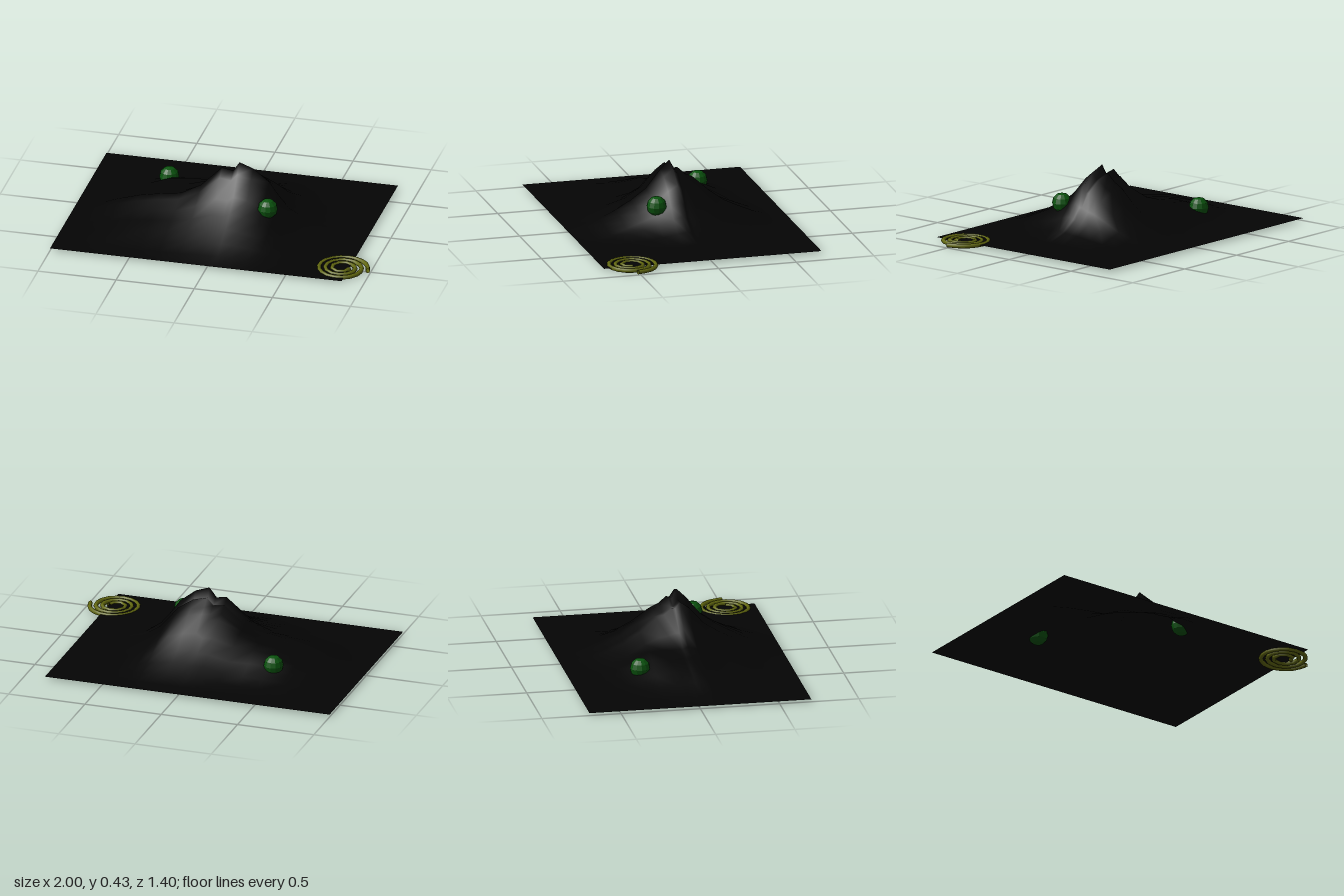
import * as THREE from 'three';

const BASE = 0.016, PEAK = 0.414;

// Ridge profiles [position, height above base] across x and z
const PROFILE_X = [[-1, 0], [-0.865, 0.021], [-0.73, 0.071], [-0.6, 0.111], [-0.46, 0.139], [-0.33, 0.159],
  [-0.2, 0.231], [-0.067, 0.366], [0.005, 0.352], [0.045, 0.414], [0.135, 0.381], [0.235, 0.302],
  [0.3, 0.211], [0.36, 0.137], [0.46, 0.065], [0.6, 0.025], [0.73, 0.011], [0.865, 0]];
const PROFILE_Z = [[-0.7, 0], [-0.6, 0.01], [-0.5, 0.036], [-0.4, 0.08], [-0.3, 0.128], [-0.2, 0.203],
  [-0.1, 0.293], [-0.05, 0.318], [0, 0.364], [0.02, 0.359], [0.05, 0.414], [0.11, 0.356],
  [0.2, 0.243], [0.3, 0.172], [0.4, 0.115], [0.5, 0.063], [0.6, 0.024], [0.7, 0]];

function material(color, options = {}) {
  return new THREE.MeshStandardMaterial({ color, ...options });
}

// Height of the slope: a rounded cone, fuller around the back shoulder
function hillHeight(x, hx, z, hz) {
  const shoulder = Math.exp(-((x + 0.4) ** 2 + (z + 0.16) ** 2) / 0.03);
  return BASE + THREE.MathUtils.lerp(hx * hz / PEAK, Math.min(hx, hz), 0.17 + 0.8 * shoulder);
}

// Open hillside sheet over the grid of both profiles
function createHill() {
  const nx = PROFILE_X.length, nz = PROFILE_Z.length;
  const geometry = new THREE.PlaneGeometry(1, 1, nx - 1, nz - 1);
  const pos = geometry.attributes.position;
  for (let j = 0; j < nz; j++) {
    for (let i = 0; i < nx; i++) {
      const [x, hx] = PROFILE_X[i];
      const [z, hz] = PROFILE_Z[j];
      pos.setXYZ(j * nx + i, x, hillHeight(x, hx, z, hz), z);
    }
  }
  geometry.computeVertexNormals();
  const hill = new THREE.Mesh(geometry, material(0x040404, { side: THREE.DoubleSide }));
  hill.name = 'hill';
  return hill;
}

// Round bush half sunk into the slope
function createBush(name, x, y, z) {
  const bush = new THREE.Mesh(new THREE.SphereGeometry(0.063, 12, 6), material(0x09520d, { flatShading: true }));
  bush.name = name;
  bush.position.set(x, y, z);
  return bush;
}

// Flat three-turn spiral lying at the corner
function createCoil() {
  const turns = 3, steps = 12;
  const points = [];
  for (let i = 0; i <= turns * steps; i++) {
    const t = i / steps, r = 0.045 + 0.04 * t, a = t * Math.PI * 2;
    points.push(new THREE.Vector3(r * Math.cos(a), 0, r * Math.sin(a)));
  }
  const curve = new THREE.CatmullRomCurve3(points);
  const geometry = new THREE.TubeGeometry(curve, 40, 0.014, 8);
  const coil = new THREE.Mesh(geometry, material(0x626810, { side: THREE.DoubleSide }));
  coil.name = 'spiralCoil';
  coil.position.set(0.82, 0.014, 0.515);
  return coil;
}

export function createModel() {
  const group = new THREE.Group();
  group.name = 'hillScene';
  group.add(
    createHill(),
    createBush('frontBush', 0.262, 0.205, 0.192),
    createBush('backBush', -0.49, 0.115, -0.283),
    createCoil(),
  );
  return group;
}
